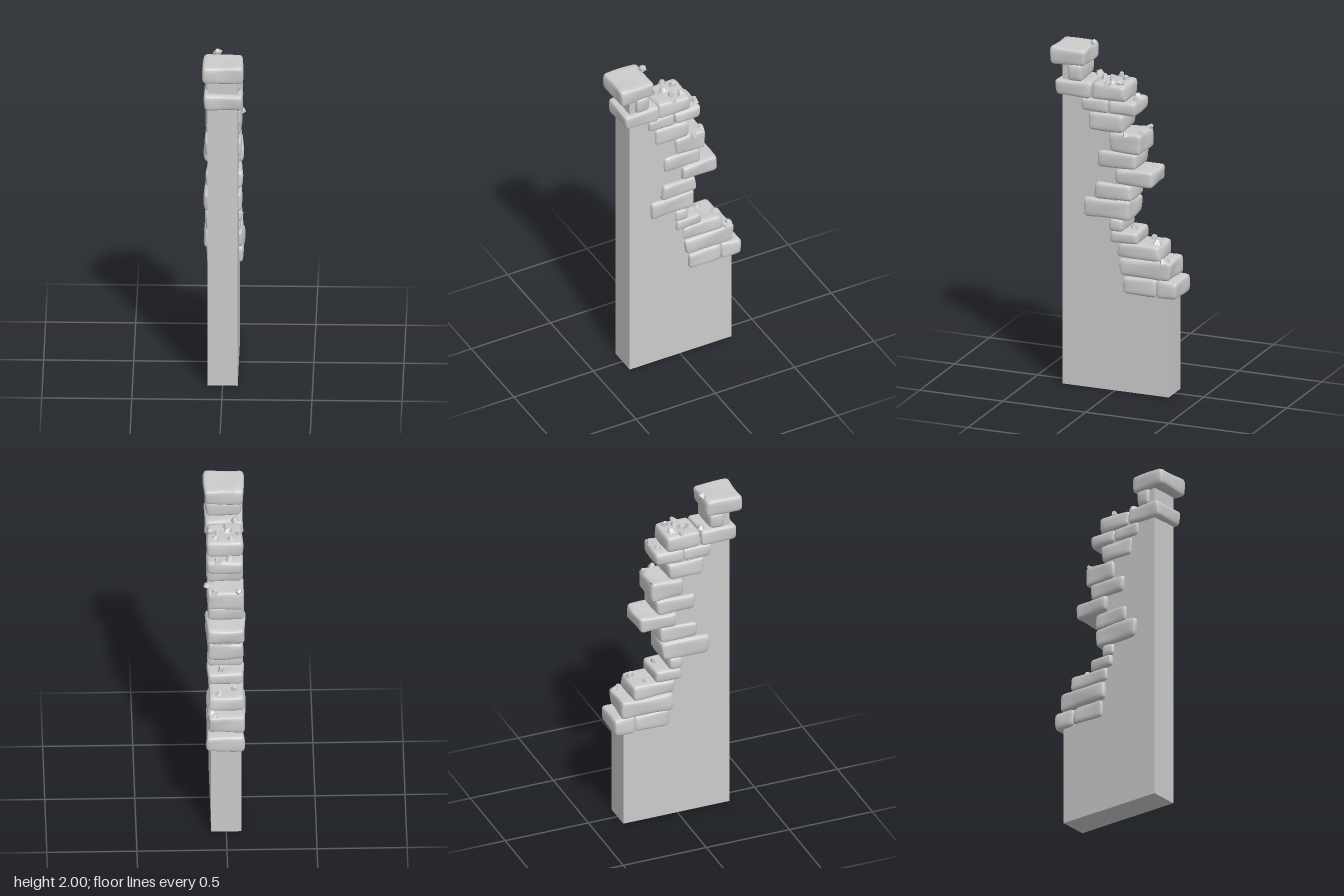
import * as THREE from 'three';
import { mergeVertices } from 'three/addons/utils/BufferGeometryUtils.js';

// Seeded random numbers
function seeded(seed) {
  return () => {
    seed = (seed * 16807) % 2147483647;
    return seed / 2147483647;
  };
}

const wallMaterial = new THREE.MeshStandardMaterial({ color: 0xcccccc });
const rubbleMaterial = new THREE.MeshStandardMaterial({ color: 0xcccccc, flatShading: true });

// Worn stone: a box with rounded edges, slightly skewed and dented
function stoneGeometry(w, h, d, rand) {
  let geo = new THREE.BoxGeometry(1, 1, 1, 10, 8, 10);
  geo.deleteAttribute('normal');
  geo.deleteAttribute('uv');
  geo = mergeVertices(geo);
  const pos = geo.attributes.position;
  const half = new THREE.Vector3(w / 2, h / 2, d / 2);
  const r = Math.min(0.024, h * 0.3, d * 0.3);
  const inner = half.clone().subScalar(r);
  const low = inner.clone().negate();
  const phase = [rand() * 6, rand() * 6, rand() * 6];
  const skew = [rand() - 0.5, rand() - 0.5, rand() - 0.5];
  const p = new THREE.Vector3(), c = new THREE.Vector3();
  for (let i = 0; i < pos.count; i++) {
    p.fromBufferAttribute(pos, i);
    // Crowd the grid towards the edges, then round them
    p.set(Math.sin(p.x * Math.PI), Math.sin(p.y * Math.PI), Math.sin(p.z * Math.PI)).multiply(half);
    c.copy(p).clamp(low, inner);
    p.sub(c).setLength(r).add(c);
    const x = p.x, y = p.y, z = p.z;
    p.x *= 1 + 0.07 * skew[0] * (z / half.z) + 0.03 * Math.sin(30 * y + 16 * z + phase[0]);
    p.y *= 1 + 0.10 * skew[1] * (z / half.z) + 0.05 * Math.sin(22 * x + 18 * z + phase[1]);
    p.z *= 1 + 0.06 * skew[2] * (y / half.y) + 0.03 * Math.sin(24 * x + 25 * y + phase[2]);
    pos.setXYZ(i, p.x, p.y, p.z);
  }
  geo.computeVertexNormals();
  return geo;
}

// Chipped fragment: an angular six-sided lump
function chipGeometry(size, rand) {
  let geo = new THREE.CylinderGeometry(size * 0.55, size, size * 1.1, 5, 1);
  geo.deleteAttribute('normal');
  geo.deleteAttribute('uv');
  geo = mergeVertices(geo);
  const pos = geo.attributes.position;
  for (let i = 0; i < pos.count; i++) {
    const k = 0.75 + 0.4 * rand();
    pos.setXYZ(i, pos.getX(i) * k, pos.getY(i) * (0.8 + 0.3 * rand()), pos.getZ(i) * k * 1.15);
  }
  geo.computeVertexNormals();
  return geo;
}

// Plain wall slab with a broken, stepped rear edge hidden inside the stones
function createWall() {
  const outline = [
    [0.316, 0], [-0.325, 0], [-0.325, 0.63], [-0.23, 0.63], [-0.23, 0.73], [-0.2, 0.73],
    [-0.2, 0.82], [-0.09, 0.82], [-0.09, 0.9], [-0.02, 0.9], [-0.02, 1.24], [-0.07, 1.24],
    [-0.07, 1.45], [-0.02, 1.45], [-0.02, 1.65], [-0.03, 1.65], [-0.03, 1.74],
    [0.22, 1.74], [0.22, 1.9], [0.316, 1.9],
  ];
  const shape = new THREE.Shape(outline.map(([z, y]) => new THREE.Vector2(z, y)));
  const geo = new THREE.ExtrudeGeometry(shape, { depth: 0.168, bevelEnabled: false });
  geo.rotateY(-Math.PI / 2).translate(0.084, 0, 0);
  const wall = new THREE.Mesh(geo, wallMaterial);
  wall.name = 'wall';
  return wall;
}

export function createModel() {
  const rand = seeded(4711);
  const model = new THREE.Group();
  model.name = 'brokenWall';
  model.add(createWall());

  // Edge stones: front z, rear z, bottom y, top y, width, name
  const stones = [
    [0.384, 0.172, 1.87, 1.97, 0.222, 'capStone'],
    [0.283, 0.193, 1.78, 1.88, 0.2, 'neckStone'],
    [0.352, 0.14, 1.69, 1.785, 0.216, 'collarStone'],
    [0.14, -0.066, 1.69, 1.785, 0.198, 'ledgeStone'],
    [0.204, 0.034, 1.615, 1.695, 0.2],
    [0.04, -0.13, 1.615, 1.695, 0.2],
    [0.16, -0.056, 1.51, 1.615, 0.2],
    [0.034, -0.16, 1.394, 1.51, 0.202],
    [0.105, -0.13, 1.3, 1.396, 0.204],
    [-0.008, -0.232, 1.21, 1.303, 0.216],
    [0.12, -0.103, 1.114, 1.21, 0.202],
    [0.188, -0.093, 1.0, 1.114, 0.206],
    [0.034, -0.05, 0.93, 1.005, 0.194],
    [0.024, -0.135, 0.865, 0.936, 0.2],
    [-0.013, -0.27, 0.782, 0.87, 0.198],
    [-0.03, -0.337, 0.678, 0.786, 0.21],
    [-0.05, -0.257, 0.576, 0.68, 0.204],
    [-0.25, -0.38, 0.576, 0.68, 0.208],
  ];
  const masonry = new THREE.Group();
  masonry.name = 'edgeStones';
  stones.forEach(([z0, z1, y0, y1, width, name], i) => {
    const mesh = new THREE.Mesh(stoneGeometry(width, y1 - y0, z0 - z1, rand), wallMaterial);
    mesh.position.set((rand() - 0.5) * 0.01, (y0 + y1) / 2, (z0 + z1) / 2);
    mesh.name = name || `edgeStone${i + 1}`;
    masonry.add(mesh);
  });
  model.add(masonry);

  // Loose fragments lying on the ledges: x, y, z
  const chips = [
    [-0.03, 1.98, 0.178], [-0.06, 1.795, 0.15], [-0.01, 1.795, 0.1], [-0.02, 1.795, 0.055],
    [0.04, 1.795, 0.03], [0.08, 1.79, 0.04], [-0.075, 1.795, 0.025], [-0.03, 1.795, -0.02],
    [0.05, 1.795, -0.02], [-0.025, 1.705, -0.092], [0.04, 1.705, -0.112], [-0.075, 1.515, -0.148],
    [0.057, 1.515, -0.145], [0.1, 1.51, -0.075], [0.02, 0.95, -0.095], [-0.05, 0.88, -0.18],
    [0.033, 0.88, -0.235], [0.08, 0.79, -0.285], [0.057, 0.79, -0.317],
  ];
  const rubble = new THREE.Group();
  rubble.name = 'rubble';
  chips.forEach(([x, y, z], i) => {
    const mesh = new THREE.Mesh(chipGeometry(0.021 + 0.006 * rand(), rand), rubbleMaterial);
    mesh.position.set(x, y, z);
    mesh.rotation.set(rand() * 0.9 - 0.45, rand() * 6.28, rand() * 0.9 - 0.45);
    mesh.name = `fragment${i + 1}`;
    rubble.add(mesh);
  });
  model.add(rubble);
  return model;
}
